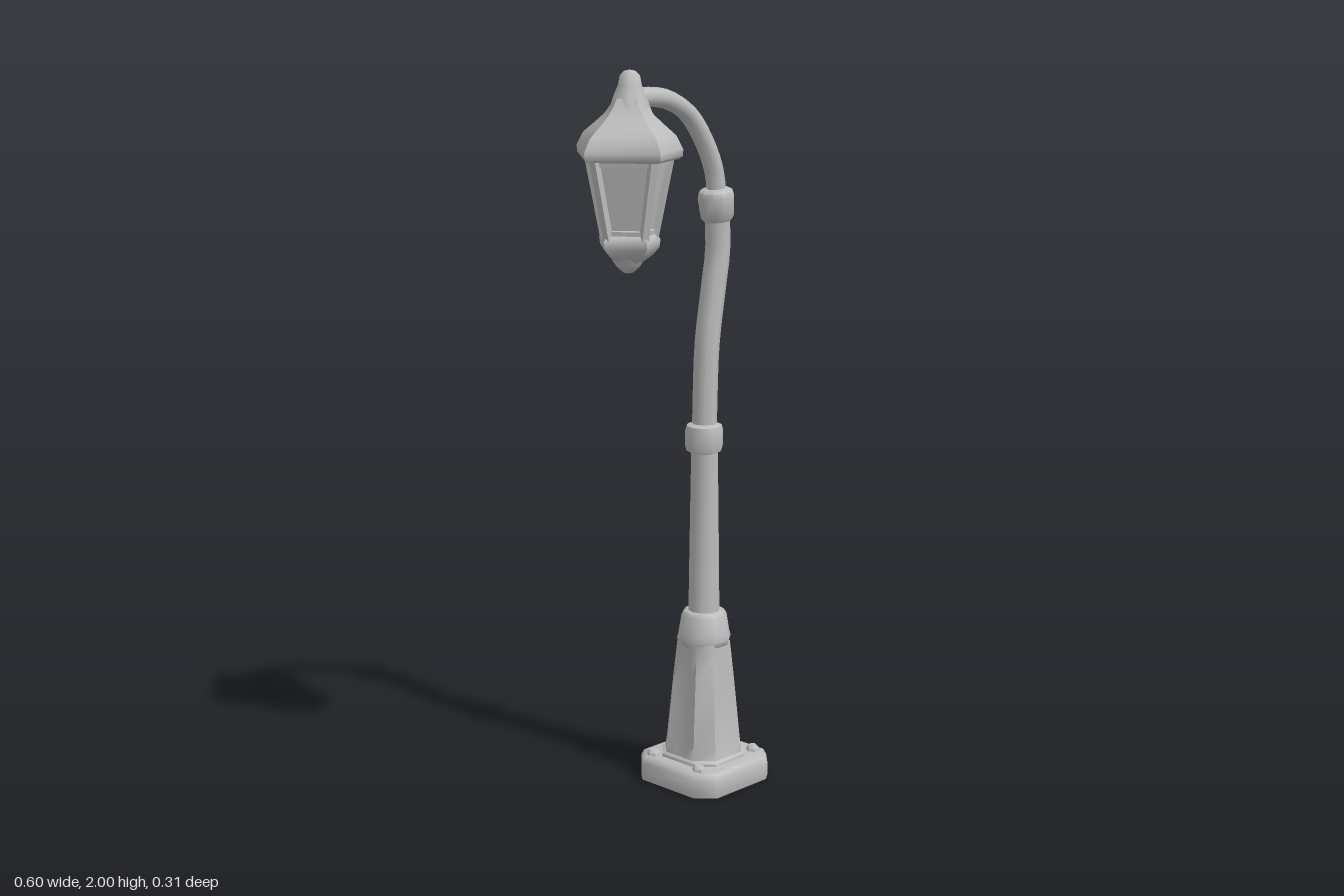
import * as THREE from 'three';
import { toCreasedNormals } from 'three/addons/utils/BufferGeometryUtils.js';

const metal = new THREE.MeshStandardMaterial({ color: 0xbcbcbc });
metal.name = 'grey metal';

const POST_X = 0.147, LAMP_X = -0.14;

// Skin a stack of rings: each ring is [y, scale], rising; outline(y) gives [x, z] points
function loft(rings, outline, crease = 0.9) {
  const pos = [];
  const loops = rings.map(([y, s]) => outline(y).map(([x, z]) => [x * s, y, z * s]));
  for (let i = 0; i < loops.length - 1; i++) {
    const lo = loops[i], hi = loops[i + 1], n = lo.length;
    for (let j = 0; j < n; j++) {
      const k = (j + 1) % n;
      if (rings[i][1] > 0) pos.push(...lo[j], ...hi[j], ...lo[k]);
      if (rings[i + 1][1] > 0) pos.push(...lo[k], ...hi[j], ...hi[k]);
    }
  }
  const g = new THREE.BufferGeometry();
  g.setAttribute('position', new THREE.Float32BufferAttribute(pos, 3));
  return toCreasedNormals(g, crease);
}

// Square of half size h with corners cut by c
function cutSquare(h, c) {
  const d = h - c;
  return [[h, -d], [h, d], [d, h], [-d, h], [-h, d], [-h, -d], [-d, -h], [d, -h]];
}

function regular(n) {
  return Array.from({ length: n }, (_, i) => {
    const a = (i / n) * Math.PI * 2;
    return [Math.cos(a), Math.sin(a)];
  });
}

// Uneven six-sided lantern outline, about 0.16 in radius
const LAMP = [[0.162, 0], [0.083, 0.114], [-0.04, 0.153], [-0.16, 0], [-0.04, -0.153], [0.083, -0.114]];

export function createModel() {
  const group = new THREE.Group();
  const add = (name, geometry, x = 0, y = 0, z = 0) => {
    const mesh = new THREE.Mesh(geometry, metal);
    mesh.name = name;
    mesh.position.set(x, y, z);
    group.add(mesh);
    return mesh;
  };

  // Foot slab with softened top edge
  add('baseSlab', loft([[0, 0], [0, 0.98], [0.015, 1], [0.05, 1], [0.066, 0.95], [0.07, 0.86], [0.07, 0]],
    () => cutSquare(0.149, 0.047), 1.0), 0.15);
  add('plinth', loft([[0.06, 1], [0.078, 1], [0.084, 0.93], [0.084, 0]], () => cutSquare(0.104, 0.045)), POST_X);

  // Four bolts
  for (const sx of [-1, 1]) for (const sz of [-1, 1]) {
    add('baseBolt', loft([[0.06, 0.019], [0.079, 0.018], [0.087, 0.01], [0.087, 0]], () => regular(6)),
      0.147 + sx * 0.11, 0, sz * 0.088);
  }

  // Tapered pedestal with a shallow hollow in each of its four main faces
  const pedestalOutline = (y) => {
    const dent = 0.13 * Math.sin(Math.PI * THREE.MathUtils.clamp((y - 0.08) / 0.32, 0, 1));
    const pts = [];
    for (let q = 0; q < 4; q++) {
      const c = Math.round(Math.cos(q * Math.PI / 2)), s = Math.round(Math.sin(q * Math.PI / 2));
      for (const [x, z] of [[1, -0.54], [1 - dent, -0.2], [1 - dent, 0.2], [1, 0.54]]) {
        pts.push([x * c - z * s, x * s + z * c]);
      }
    }
    return pts;
  };
  add('pedestal', loft([[0.08, 0.098], [0.12, 0.093], [0.2, 0.086], [0.3, 0.077], [0.37, 0.07], [0.41, 0.066]],
    pedestalOutline), POST_X);

  const collar = (name, rings, x, sides = 10) => add(name, loft(rings, () => regular(sides)), x);
  collar('pedestalCollar', [[0.39, 0.06], [0.4, 0.072], [0.415, 0.076], [0.43, 0.072], [0.48, 0.064],
    [0.492, 0.056], [0.495, 0.03]], POST_X);
  collar('lowerShaft', [[0.48, 0.044], [0.7, 0.041], [0.96, 0.037]], POST_X);
  collar('middleCollar', [[0.945, 0.035], [0.95, 0.049], [0.965, 0.053], [1.005, 0.053], [1.02, 0.049],
    [1.026, 0.033]], 0.145);

  // Leaning upper shaft and curved arm
  const tube = (name, pts, r, segments) => add(name, new THREE.TubeGeometry(
    new THREE.CatmullRomCurve3(pts.map(([x, y]) => new THREE.Vector3(x, y, 0))), segments, r, 8));
  tube('upperShaft', [[0.146, 0.99], [0.149, 1.12], [0.156, 1.25], [0.18, 1.4], [0.196, 1.5], [0.192, 1.6]], 0.034, 14);
  tube('arm', [[0.193, 1.62], [0.18, 1.71], [0.143, 1.79], [0.078, 1.872], [0, 1.914], [-0.06, 1.925], [-0.135, 1.925]], 0.026, 16);
  const joint = add('armCollar', loft([[-0.045, 0], [-0.045, 0.038], [-0.034, 0.046], [0.02, 0.05], [0.036, 0.046],
    [0.043, 0.034], [0.043, 0]], () => regular(10)), 0.19, 1.622);
  joint.rotation.z = 0.12;

  // Lantern roof, flared to the eaves and hollow underneath
  add('lanternRoof', loft([[1.785, 0], [1.785, 0.8], [1.775, 0.93], [1.782, 0.99], [1.8, 1], [1.835, 0.87],
    [1.862, 0.65], [1.885, 0.47], [1.91, 0.34], [1.93, 0.27]], () => LAMP, 0.8), LAMP_X);
  add('roofFinial', loft([[1.88, 0.062], [1.91, 0.05], [1.94, 0.04], [1.96, 0.031], [1.985, 0.026], [1.997, 0.014], [2, 0]],
    () => regular(8), 1.2), LAMP_X + 0.004);

  // Recessed panes with a frame bar at every corner
  add('lanternPanes', loft([[1.57, 0.43], [1.79, 0.74]], () => LAMP, 0.3), LAMP_X);
  const up = new THREE.Vector3(0, 1, 0);
  for (const [x, z] of LAMP) {
    const low = new THREE.Vector3(x * 0.47, 1.565, z * 0.47);
    const high = new THREE.Vector3(x * 0.79, 1.79, z * 0.79);
    const dir = high.clone().sub(low);
    const bar = add('lanternBar', new THREE.BoxGeometry(0.017, dir.length(), 0.02),
      LAMP_X + (low.x + high.x) / 2, (low.y + high.y) / 2, (low.z + high.z) / 2);
    bar.quaternion.setFromUnitVectors(up, dir.normalize())
      .multiply(new THREE.Quaternion().setFromAxisAngle(up, -Math.atan2(z, x)));
  }
  // Top and bottom rails of the frame
  add('topRail', loft([[1.762, 0.74], [1.762, 0.77], [1.788, 0.8]], () => LAMP, 0.5), LAMP_X);
  add('bottomRail', loft([[1.57, 0.5], [1.592, 0.52], [1.595, 0.44]], () => LAMP, 0.5), LAMP_X);

  // Lantern bottom cup and drop
  add('lanternCup', loft([[1.505, 0], [1.505, 0.25], [1.525, 0.44], [1.545, 0.56], [1.565, 0.58], [1.58, 0.52],
    [1.584, 0.4], [1.584, 0]], () => LAMP, 0.9), LAMP_X);
  add('lanternDrop', loft([[1.475, 0], [1.477, 0.013], [1.492, 0.03], [1.51, 0.042], [1.53, 0.05]],
    () => regular(8), 1.2), LAMP_X - 0.004);

  return group;
}
